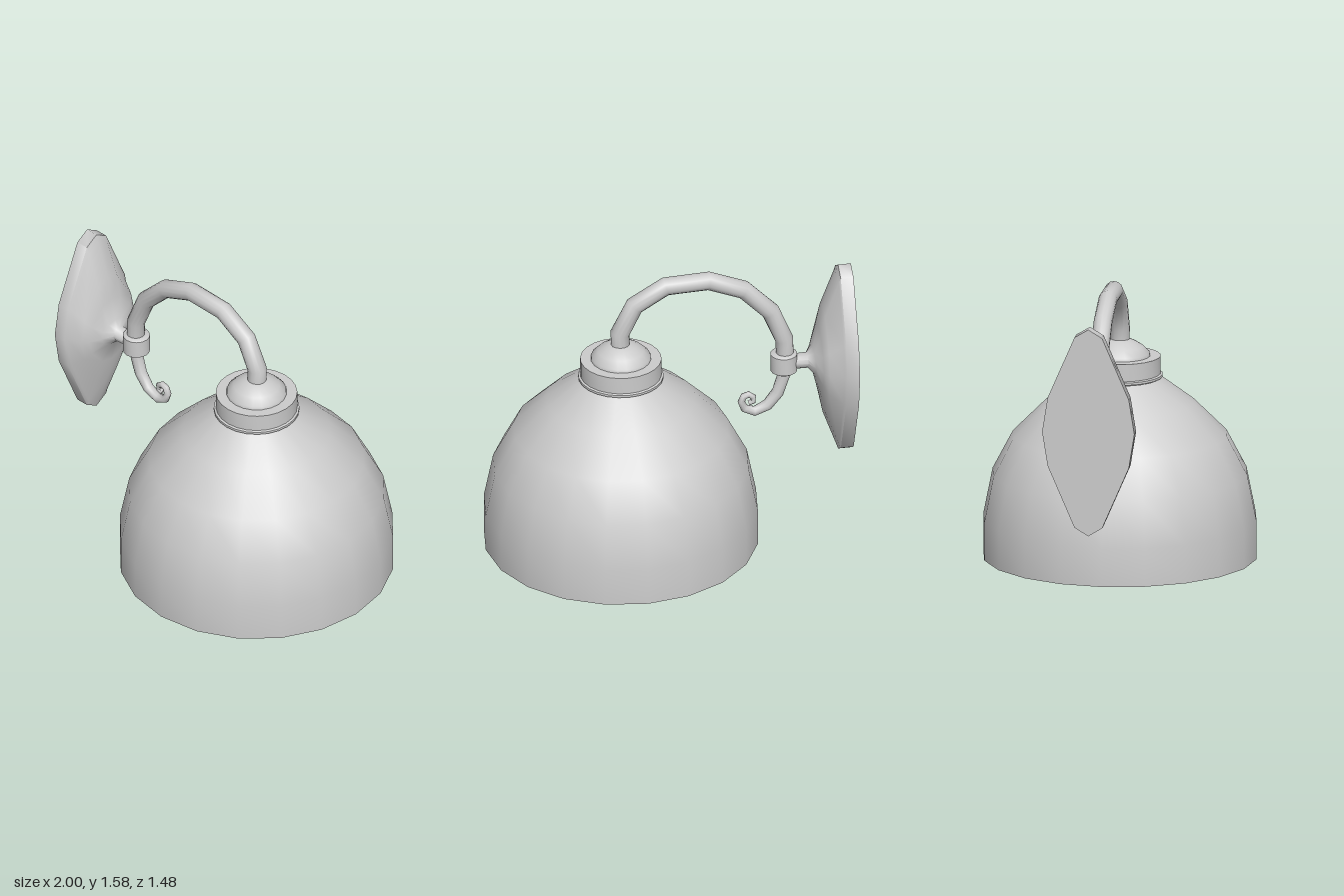
import * as THREE from 'three';
import { toCreasedNormals } from 'three/addons/utils/BufferGeometryUtils.js';

const material = new THREE.MeshStandardMaterial({ color: 0xcccccc });
const doubleSided = new THREE.MeshStandardMaterial({ color: 0xcccccc, side: THREE.DoubleSide });

const LAMP_X = 0.26;   // axis of the shade
const STEM_Y = 0.975;  // height of the wall mount

function addMesh(group, name, geometry, crease, mat = material) {
  const mesh = new THREE.Mesh(toCreasedNormals(geometry, crease), mat);
  mesh.name = name;
  group.add(mesh);
  return mesh;
}

function lathe(profile, sides) {
  // Start at +x so a corner of the polygon lies on each axis
  return new THREE.LatheGeometry(profile.map(([r, y]) => new THREE.Vector2(r, y)), sides, Math.PI / 2);
}

// Skin a list of rings (each counter-clockwise about the travel direction), with both ends closed
function loft(rings) {
  const n = rings[0].length;
  const positions = [];
  const index = [];
  rings.forEach(ring => ring.forEach(p => positions.push(p.x, p.y, p.z)));
  for (let k = 0; k < rings.length - 1; k++) {
    for (let i = 0; i < n; i++) {
      const a = k * n + i, b = k * n + (i + 1) % n;
      index.push(a, b, b + n, a, b + n, a + n);
    }
  }
  const last = (rings.length - 1) * n;
  for (let i = 1; i < n - 1; i++) {
    index.push(0, i + 1, i);
    index.push(last, last + i, last + i + 1);
  }
  const geometry = new THREE.BufferGeometry();
  geometry.setAttribute('position', new THREE.Float32BufferAttribute(positions, 3));
  geometry.setIndex(index);
  return geometry;
}

// Round bar along a path of [x, y, radius] in the xy plane
function bar(path, sides) {
  const pts = path.map(([x, y]) => new THREE.Vector3(x, y, 0));
  return loft(pts.map((p, k) => {
    const before = p.clone().sub(pts[Math.max(k - 1, 0)]).normalize();
    const after = pts[Math.min(k + 1, pts.length - 1)].clone().sub(p).normalize();
    const d = before.add(after).normalize();
    const r = path[k][2];
    return Array.from({ length: sides }, (_, i) => {
      const a = i / sides * Math.PI * 2;
      return new THREE.Vector3(p.x - d.y * r * Math.cos(a), p.y + d.x * r * Math.cos(a), r * Math.sin(a));
    });
  }));
}

// Wall plate: a tall lozenge outline that blends into a round stem
function wallPlate() {
  const quarter = [[1, 0], [0.92, 0.3], [0.33, 0.88], [0, 1]]; // [y, z]
  const outline = [
    ...quarter,
    ...[2, 1].map(i => [-quarter[i][0], quarter[i][1]]),
    ...[0, 1, 2, 3].map(i => [-quarter[i][0], -quarter[i][1]]),
    ...[2, 1].map(i => [quarter[i][0], -quarter[i][1]]),
  ];
  // x, half height, half depth, roundness
  const sections = [
    [-1, 0.57, 0.25, 0], [-0.93, 0.57, 0.25, 0], [-0.92, 0.54, 0.235, 0],
    [-0.845, 0.33, 0.205, 0.3], [-0.82, 0.2, 0.17, 0.6], [-0.79, 0.075, 0.105, 0.9],
    [-0.76, 0.042, 0.045, 1], [-0.64, 0.04, 0.04, 1],
  ];
  return loft(sections.map(([x, h, w, round]) => outline.map(([y, z], i) => {
    const a = i / outline.length * Math.PI * 2;
    return new THREE.Vector3(
      x,
      STEM_Y + h * THREE.MathUtils.lerp(y, Math.cos(a), round),
      w * THREE.MathUtils.lerp(z, Math.sin(a), round));
  })));
}

export function createModel() {
  const group = new THREE.Group();
  group.name = 'wallLamp';

  // Open bell shade
  const shade = lathe([[0.74, 0], [0.74, 0.21], [0.69, 0.46], [0.58, 0.67], [0.4, 0.85], [0.22, 0.985]], 20);
  addMesh(group, 'shade', shade, 0.7, doubleSided).position.x = LAMP_X;

  // Shade holder with a thin lower rim
  const holder = lathe([[0, 0.99], [0.23, 0.99], [0.23, 1.003], [0.219, 1.008], [0.219, 1.103], [0, 1.103]], 24);
  addMesh(group, 'shadeHolder', holder, 0.6).position.x = LAMP_X;

  // Domed cap at the foot of the arm
  const cap = lathe([[0.163, 1.1], [0.16, 1.12], [0.125, 1.155], [0.085, 1.18], [0.052, 1.194], [0, 1.2]], 20);
  addMesh(group, 'domeCap', cap, 0.8).position.x = LAMP_X;

  // Curved arm from the dome over to the collar
  addMesh(group, 'arm', bar([
    [0.262, 1.15, 0.052], [0.265, 1.26, 0.052], [0.185, 1.42, 0.051], [0.015, 1.52, 0.05],
    [-0.22, 1.527, 0.05], [-0.413, 1.45, 0.05], [-0.56, 1.3, 0.05], [-0.635, 1.12, 0.049], [-0.64, 0.98, 0.048],
  ], 14), 0.9);

  // Tapering scroll below the collar
  addMesh(group, 'scroll', bar([
    [-0.64, 0.97, 0.038], [-0.636, 0.91, 0.036], [-0.6, 0.795, 0.034], [-0.543, 0.722, 0.031],
    [-0.472, 0.691, 0.027], [-0.417, 0.715, 0.023], [-0.4, 0.758, 0.02], [-0.413, 0.788, 0.019],
    [-0.44, 0.797, 0.018], [-0.465, 0.78, 0.017], [-0.464, 0.753, 0.016], [-0.44, 0.744, 0.014],
  ], 10), 1.2);

  // Collar holding the arm to the mount
  const collar = lathe([
    [0, 0.922], [0.062, 0.922], [0.073, 0.93], [0.073, 1.03], [0.062, 1.038], [0, 1.038],
  ], 16);
  addMesh(group, 'collar', collar, 0.8).position.x = -0.633;

  addMesh(group, 'wallPlate', wallPlate(), 1.1);

  return group;
}
